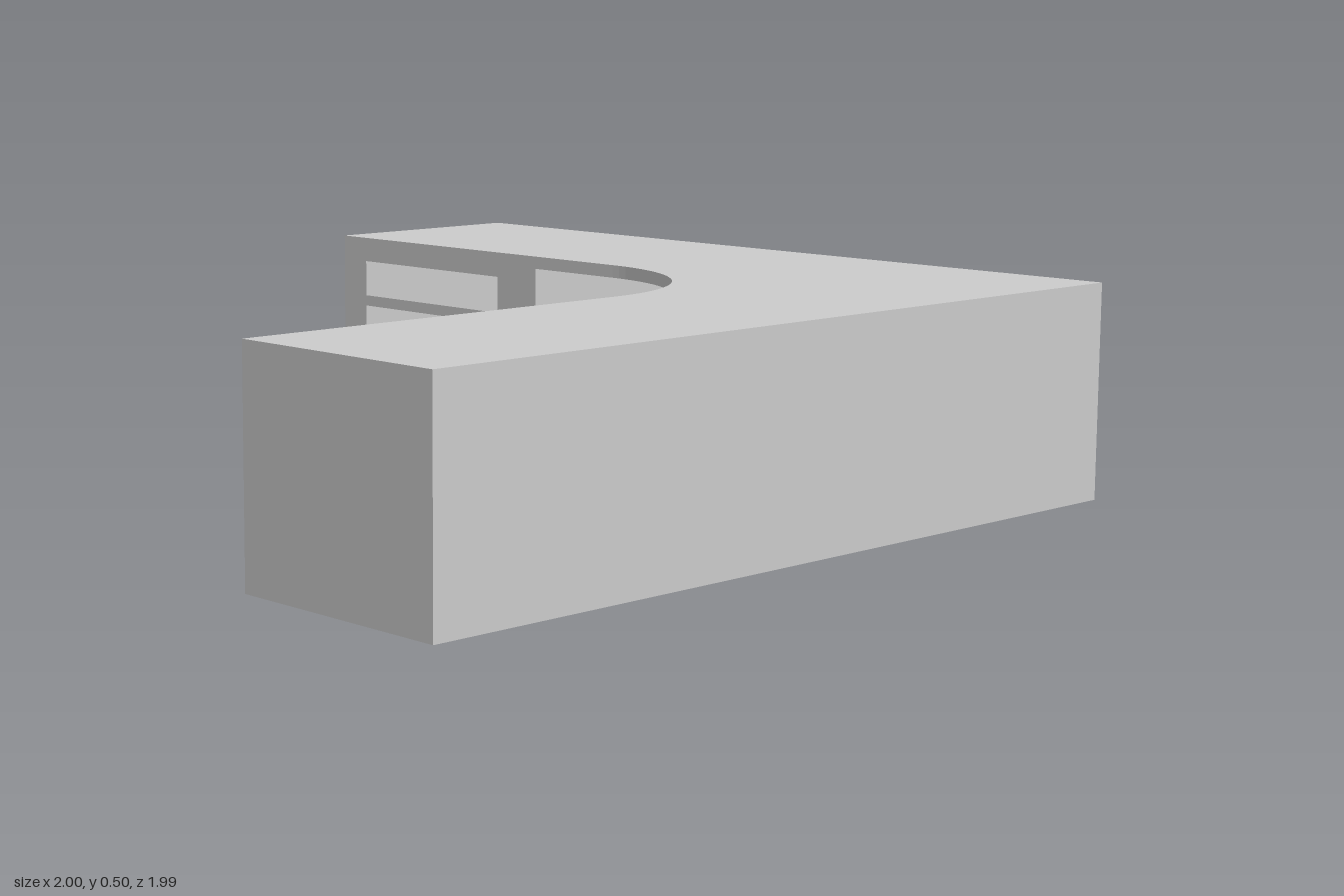
import * as THREE from 'three';

const HEIGHT = 0.495, SLAB = 0.03, UNDER = HEIGHT - SLAB; // overall, worktop, panel height
const X = 1, Z = 0.995;            // half extents
const INNER = 0.45;                // inner edge of both arms
const PED_W = 0.73;                // pedestal width along its arm
const HOLE_W = 0.555, HOLE_H = 0.09, HOLE_STEP = 0.117, HOLE_BASE = 0.11;

const material = new THREE.MeshStandardMaterial({ color: 0xcccccc, side: THREE.DoubleSide });

function add(parent, name, geometry, x = 0, y = 0, z = 0) {
  const mesh = new THREE.Mesh(geometry, material);
  mesh.name = name;
  mesh.position.set(x, y, z);
  parent.add(mesh);
  return mesh;
}

// L-shaped top with a rounded inside corner; drawn in x and -z
function worktop() {
  const s = new THREE.Shape();
  s.moveTo(-X, -Z);
  s.lineTo(X, -Z);
  s.lineTo(X, Z);
  s.lineTo(INNER, Z);
  s.lineTo(INNER, 0);
  s.absarc(0, 0, INNER, 0, -Math.PI / 2, true);
  s.lineTo(-X, -INNER);
  s.closePath();
  return new THREE.ExtrudeGeometry(s, { depth: SLAB, bevelEnabled: false, curveSegments: 16 })
    .rotateX(-Math.PI / 2);
}

// Front sheet with three stacked drawer openings
function drawerFront() {
  const w = PED_W / 2, h = HOLE_W / 2;
  const s = new THREE.Shape();
  s.moveTo(-w, 0);
  s.lineTo(w, 0);
  s.lineTo(w, UNDER);
  s.lineTo(-w, UNDER);
  s.closePath();
  for (let i = 0; i < 3; i++) {
    const y = HOLE_BASE + i * HOLE_STEP;
    const hole = new THREE.Path();
    hole.moveTo(-h, y);
    hole.lineTo(-h, y + HOLE_H);
    hole.lineTo(h, y + HOLE_H);
    hole.lineTo(h, y);
    hole.closePath();
    s.holes.push(hole);
  }
  return new THREE.ShapeGeometry(s);
}

// Hollow pedestal, front at local z = 0 facing +z, closed behind by the outer panel
function pedestal(name, depth) {
  const g = new THREE.Group();
  g.name = name;
  add(g, 'drawerFront', drawerFront());
  for (const side of [-1, 1]) {
    add(g, 'pedestalSide', new THREE.PlaneGeometry(depth, UNDER),
      side * PED_W / 2, UNDER / 2, -depth / 2).rotation.y = side * Math.PI / 2;
  }
  add(g, 'pedestalFloor', new THREE.PlaneGeometry(PED_W, depth), 0, 0, -depth / 2)
    .rotation.x = Math.PI / 2;
  return g;
}

export function createModel() {
  const desk = new THREE.Group();
  desk.name = 'cornerDesk';
  add(desk, 'worktop', worktop(), 0, UNDER, 0);

  // Full-height outer panels
  add(desk, 'frontPanel', new THREE.PlaneGeometry(2 * X, UNDER), 0, UNDER / 2, Z);
  add(desk, 'sidePanel', new THREE.PlaneGeometry(2 * Z, UNDER), X, UNDER / 2, 0)
    .rotation.y = Math.PI / 2;

  // One pedestal at the end of each arm, opening toward the inside of the L
  const right = pedestal('rightPedestal', Z - INNER);
  right.position.set(-X + PED_W / 2, 0, INNER);
  right.rotation.y = Math.PI;
  const back = pedestal('backPedestal', X - INNER);
  back.position.set(INNER, 0, -Z + PED_W / 2);
  back.rotation.y = -Math.PI / 2;
  desk.add(right, back);
  return desk;
}
